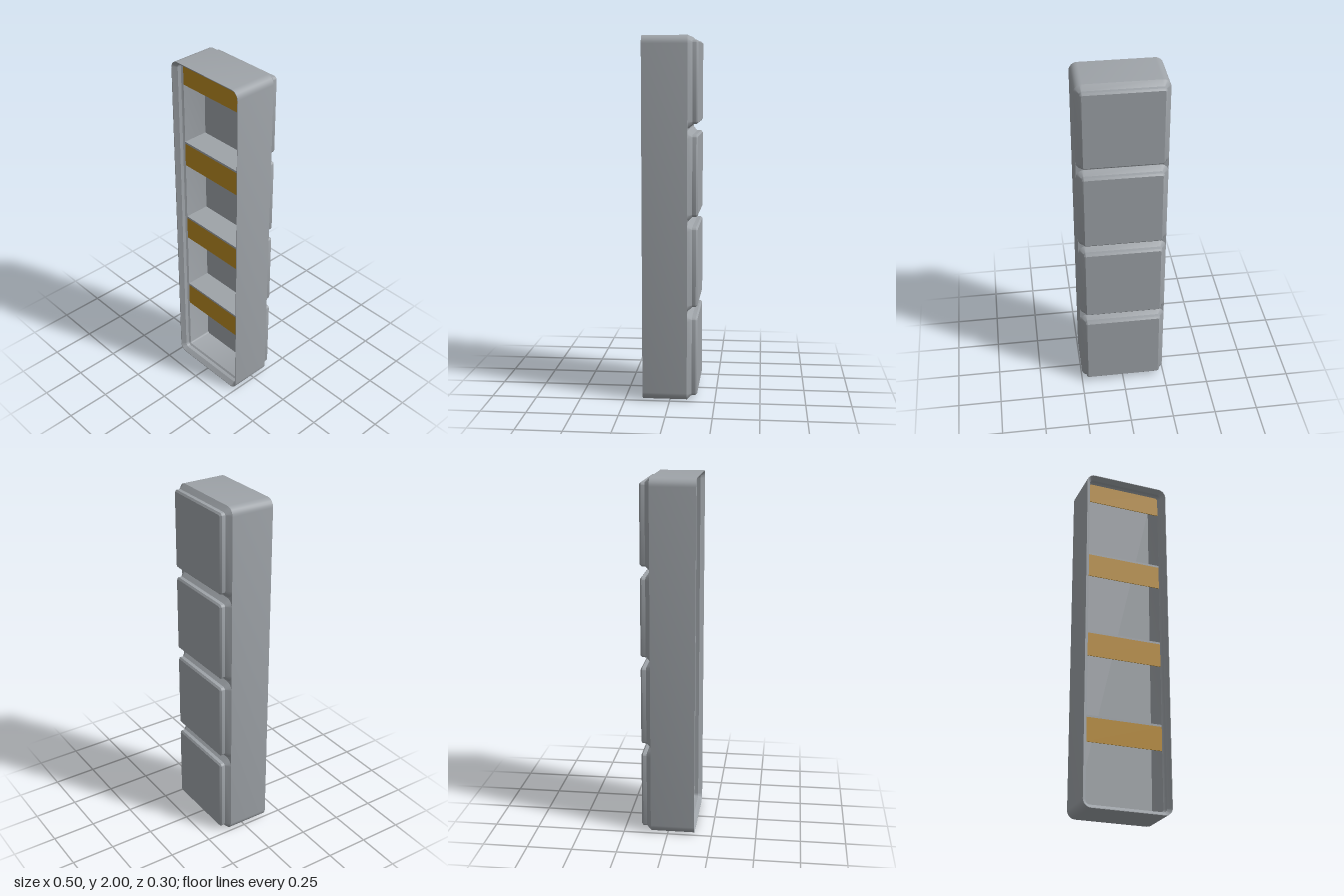
import * as THREE from 'three';
import { toCreasedNormals } from 'three/addons/utils/BufferGeometryUtils.js';

const slate = new THREE.MeshStandardMaterial({ color: 0x9ea3a8 });
const amber = new THREE.MeshStandardMaterial({ color: 0xb78822 });

const W = 0.4955, H = 2, R = 0.045;          // outer footprint and corner radius
const BACK = -0.0955, FRONT = 0.151;         // body depth, without the feet
const FLOOR = -0.048, RIM = 0.0985;          // pocket floor and underside of the lip
const INSET = 0.031;                         // wall thickness at the lip
const STEPS = 6;

// Rounded rectangle, counter-clockwise seen from +z
function ring(w, h, r, z) {
  const pts = [];
  const corners = [[1, 1], [-1, 1], [-1, -1], [1, -1]];
  corners.forEach(([sx, sy], q) => {
    for (let i = 0; i <= STEPS; i++) {
      const a = (q + i / STEPS) * Math.PI / 2;
      pts.push([sx * (w / 2 - r) + r * Math.cos(a), sy * (h / 2 - r) + r * Math.sin(a), z]);
    }
  });
  return pts;
}

// Skin a profile of [inset, z] steps around a rounded rectangle, with end caps
function loft(w, h, r, profile, capEnd) {
  const rings = profile.map(([d, z]) => ring(w - 2 * d, h - 2 * d, r - d, z));
  const n = rings[0].length, last = (rings.length - 1) * n;
  const index = [];
  for (let k = 0; k < rings.length - 1; k++) {
    for (let j = 0; j < n; j++) {
      const a = k * n + j, b = k * n + (j + 1) % n;
      index.push(a, b, b + n, a, b + n, a + n);
    }
  }
  for (let j = 1; j < n - 1; j++) {
    index.push(0, j + 1, j);
    if (capEnd) index.push(last, last + j, last + j + 1);
  }
  const geo = new THREE.BufferGeometry();
  geo.setAttribute('position', new THREE.Float32BufferAttribute(rings.flat(2), 3));
  geo.setIndex(index);
  return toCreasedNormals(geo, 0.5);
}

export function createModel() {
  const model = new THREE.Group();
  const add = (name, geo, mat, y, z = 0) => {
    const mesh = new THREE.Mesh(geo, mat);
    mesh.name = name;
    mesh.position.set(0, y, z);
    model.add(mesh);
  };

  // Bin shell: back, outer wall, stepped stacking lip, inner wall and floor
  add('binShell', loft(W, H, R, [
    [0, BACK], [0, FRONT], [0.003, FRONT], [0.0227, 0.128],
    [0.0227, 0.107], [INSET, RIM], [INSET, FLOOR],
  ], true), slate, H / 2);

  // Four stepped feet on the back
  const foot = loft(W, W, R, [
    [0.0352, -0.151], [0.0257, -0.142], [0.0257, -0.121], [0, BACK],
  ], false);
  for (let i = 0; i < 4; i++) add('foot', foot, slate, W / 2 + i * (H - W) / 3);

  // Dividers between the four compartments
  const innerW = W - 2 * INSET, thick = 0.012;
  const dividers = [0.5095, 1.003, 1.4975];
  const divider = new THREE.BoxGeometry(innerW, thick, RIM - FLOOR);
  for (const y of dividers) add('divider', divider, slate, y, (RIM + FLOOR) / 2);

  // Label shelf below each divider and the top wall: sloping support, coloured plate
  const depth = 0.137, plate = 0.004;
  const profile = new THREE.Shape([
    new THREE.Vector2(RIM - plate, 0),
    new THREE.Vector2(RIM - 0.1, 0),
    new THREE.Vector2(RIM - plate, -depth),
  ]);
  const support = new THREE.ExtrudeGeometry(profile, { depth: innerW, bevelEnabled: false });
  support.translate(0, 0, -innerW / 2).rotateY(-Math.PI / 2);
  const label = new THREE.BoxGeometry(innerW, depth, plate);
  for (const y of [...dividers, 1.992]) {
    const top = y - thick / 2;
    add('labelSupport', support, slate, top);
    add('labelPlate', label, amber, top - depth / 2, RIM - plate / 2);
  }

  return model;
}
